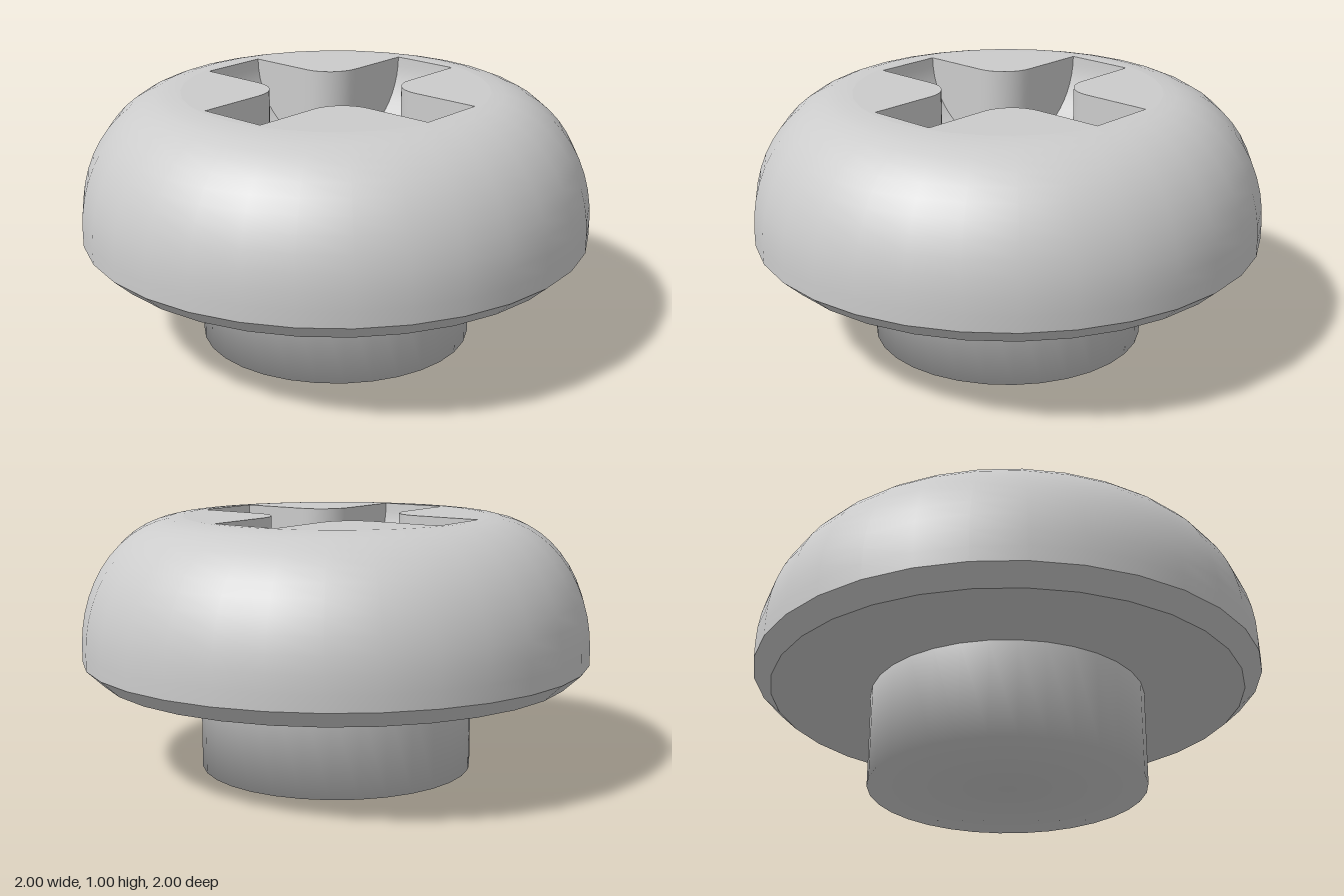
import * as THREE from 'three';

const SIDES = 32;
const TOP = 1;          // height of the flat top
const HALF = 0.14;      // half width of a cross arm
const REACH = 0.56;     // arm length from the axis
const INNER = 0.28;     // where the fillets end and the floor becomes flat
const DEPTH = 0.3;

const grey = new THREE.MeshStandardMaterial({ color: 0xcccccc });
const greyDouble = new THREE.MeshStandardMaterial({ color: 0xcccccc, side: THREE.DoubleSide });

function add(parent, name, geometry, material = grey) {
  const mesh = new THREE.Mesh(geometry, material);
  mesh.name = name;
  parent.add(mesh);
  return mesh;
}

function lathe(points) {
  return new THREE.LatheGeometry(points.map(([r, y]) => new THREE.Vector2(r, y)), SIDES);
}

// Height of the recess floor at distance t along an arm: flat, then curving up to the tip
function floorY(t) {
  const k = THREE.MathUtils.clamp((t - INNER) / (REACH - INNER), 0, 1);
  return TOP - DEPTH * Math.sqrt(1 - k * k);
}

// Distances along an arm, from the tip inwards, closely spaced near the steep tip
const steps = Array.from({ length: 13 }, (_, i) =>
  INNER + (REACH - INNER) * Math.cos((i / 12) * Math.PI / 2));

// Fillet between two neighbouring arms
const fillet = Array.from({ length: 9 }, (_, i) => {
  const a = (i / 8) * Math.PI / 2;
  const r = INNER - HALF;
  return [INNER - r * Math.sin(a), INNER - r * Math.cos(a)];
});

// Turn a list of [x, z] points by q quarter turns
function turned(points, q) {
  return points.map(([x, z]) => {
    for (let i = 0; i < q; i++) [x, z] = [-z, x];
    return new THREE.Vector2(x, z);
  });
}

// Surface between two equally long rows of 3D points
function strip(rowA, rowB) {
  const geometry = new THREE.PlaneGeometry(1, 1, rowA.length - 1, 1);
  [...rowA, ...rowB].forEach((p, i) => geometry.attributes.position.setXYZ(i, ...p));
  geometry.computeVertexNormals();
  return geometry;
}

function flat(shape, y) {
  return new THREE.ShapeGeometry(shape).rotateX(-Math.PI / 2).translate(0, y, 0);
}

export function createModel() {
  const model = new THREE.Group();
  model.name = 'screw';

  // Short shank with a closed, softly shaded end
  add(model, 'shank', lathe([[0, 0], [0.54, 0], [0.54, 0.375]]));

  // Head: flat underside, chamfered rim and rounded dome
  const head = new THREE.Group();
  head.name = 'head';
  model.add(head);
  add(head, 'underside', lathe([[0.5, 0.375], [0.93, 0.375]]));
  add(head, 'chamfer', lathe([[0.93, 0.375], [1, 0.44]]));
  const dome = [[1, 0.44]];
  for (let i = 0; i <= 12; i++) {
    const a = (i / 12) * Math.PI / 2;
    dome.push([0.6 + 0.4 * Math.cos(a), 0.5 + 0.5 * Math.sin(a)]);
  }
  add(head, 'dome', lathe(dome));

  // Flat top with the cross cut out
  const circle = Array.from({ length: SIDES }, (_, i) => {
    const a = (i / SIDES) * Math.PI * 2;
    return new THREE.Vector2(0.6 * Math.cos(a), 0.6 * Math.sin(a));
  });
  const corner = [[REACH, HALF], ...fillet, [HALF, REACH]];
  const cross = [0, 1, 2, 3].flatMap((q) => turned(corner, q));
  const topShape = new THREE.Shape(circle);
  topShape.holes.push(new THREE.Path(cross));
  add(head, 'flatTop', flat(topShape, TOP));

  // Cross recess
  const recess = new THREE.Group();
  recess.name = 'crossRecess';
  model.add(recess);
  const middle = [0, 1, 2, 3].flatMap((q) => turned(fillet, q));
  add(recess, 'recessFloor', flat(new THREE.Shape(middle), TOP - DEPTH), greyDouble);

  const outline = [
    ...steps.slice(0, -1).map((t) => [t, HALF]),
    ...fillet,
    ...steps.slice(0, -1).reverse().map((t) => [HALF, t]),
  ];
  const wall = strip(
    outline.map(([x, z]) => [x, TOP, z]),
    outline.map(([x, z]) => [x, floorY(Math.max(x, z)), z]),
  );
  const armFloor = strip(
    steps.map((t) => [t, floorY(t), -HALF]),
    steps.map((t) => [t, floorY(t), HALF]),
  );
  for (let q = 0; q < 4; q++) {
    add(recess, 'recessWall', wall, greyDouble).rotation.y = q * Math.PI / 2;
    add(recess, 'armFloor', armFloor, greyDouble).rotation.y = q * Math.PI / 2;
  }
  return model;
}
